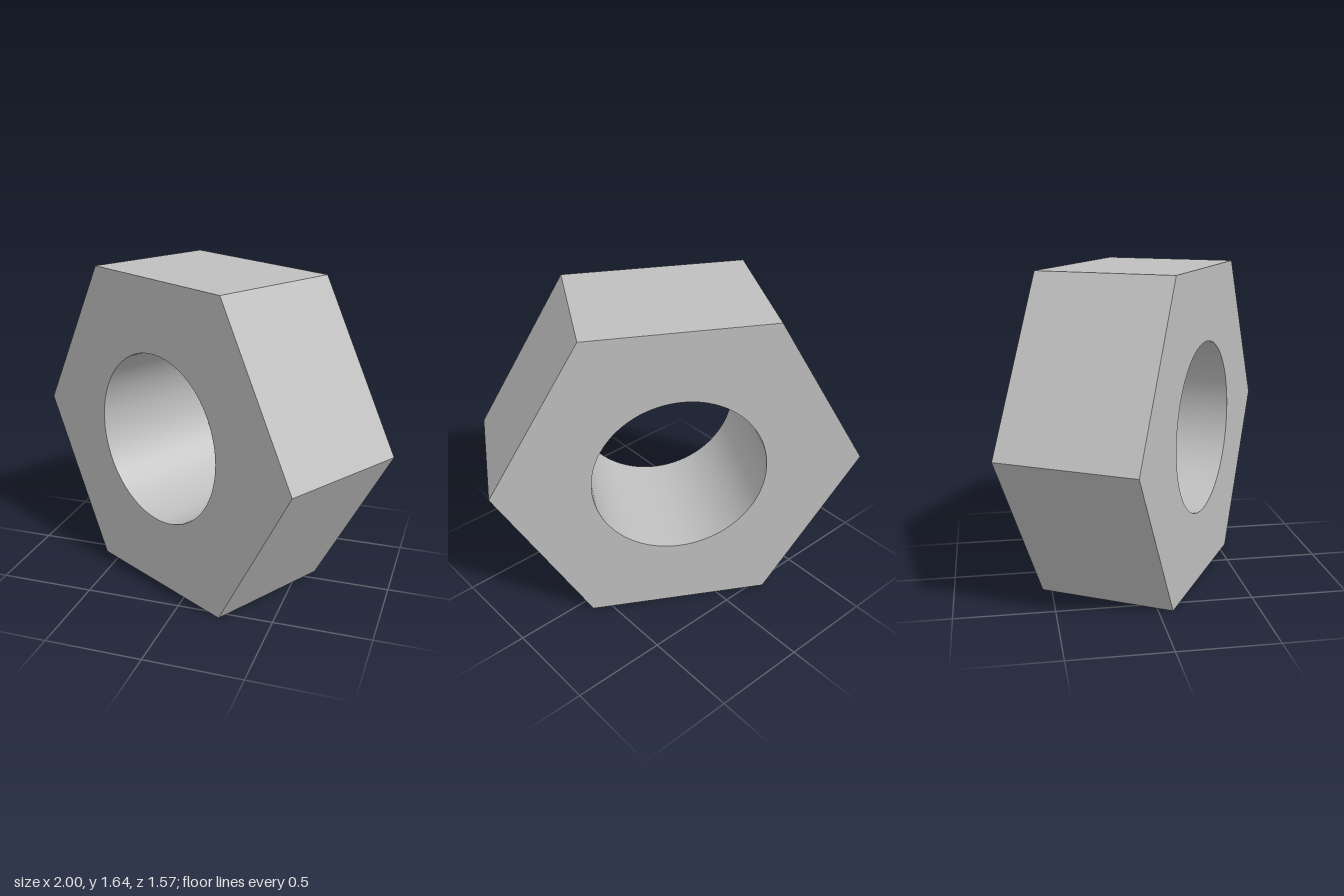
import * as THREE from 'three';
import { toCreasedNormals } from 'three/addons/utils/BufferGeometryUtils.js';

const RADIUS = 0.9486;  // centre to corner
const BORE = 0.4475;    // hole radius
const DEPTH = 0.714;

export function createModel() {
  const group = new THREE.Group();
  group.name = 'hexNut';

  const steel = new THREE.MeshStandardMaterial({ color: 0xbfbfbf });
  steel.name = 'steel grey';

  // hexagon with corners pointing sideways and flats on top and bottom
  const outline = new THREE.Shape();
  for (let i = 0; i < 6; i++) {
    const a = (i * Math.PI) / 3;
    const x = RADIUS * Math.cos(a), y = RADIUS * Math.sin(a);
    if (i === 0) outline.moveTo(x, y);
    else outline.lineTo(x, y);
  }
  outline.closePath();

  // round bore through the middle
  const bore = new THREE.Path();
  bore.absarc(0, 0, BORE, 0, Math.PI * 2, true);
  outline.holes.push(bore);

  let geometry = new THREE.ExtrudeGeometry(outline, { depth: DEPTH, bevelEnabled: false, curveSegments: 48 });
  geometry.translate(0, 0, -DEPTH / 2);
  geometry = toCreasedNormals(geometry, 0.5); // smooth bore, sharp corners

  // the nut rests on a flat, turned about the vertical axis
  const nut = new THREE.Mesh(geometry, steel);
  nut.name = 'nutBody';
  nut.position.y = RADIUS * Math.sqrt(3) / 2;
  nut.rotation.y = -Math.PI / 6;
  group.add(nut);

  return group;
}
